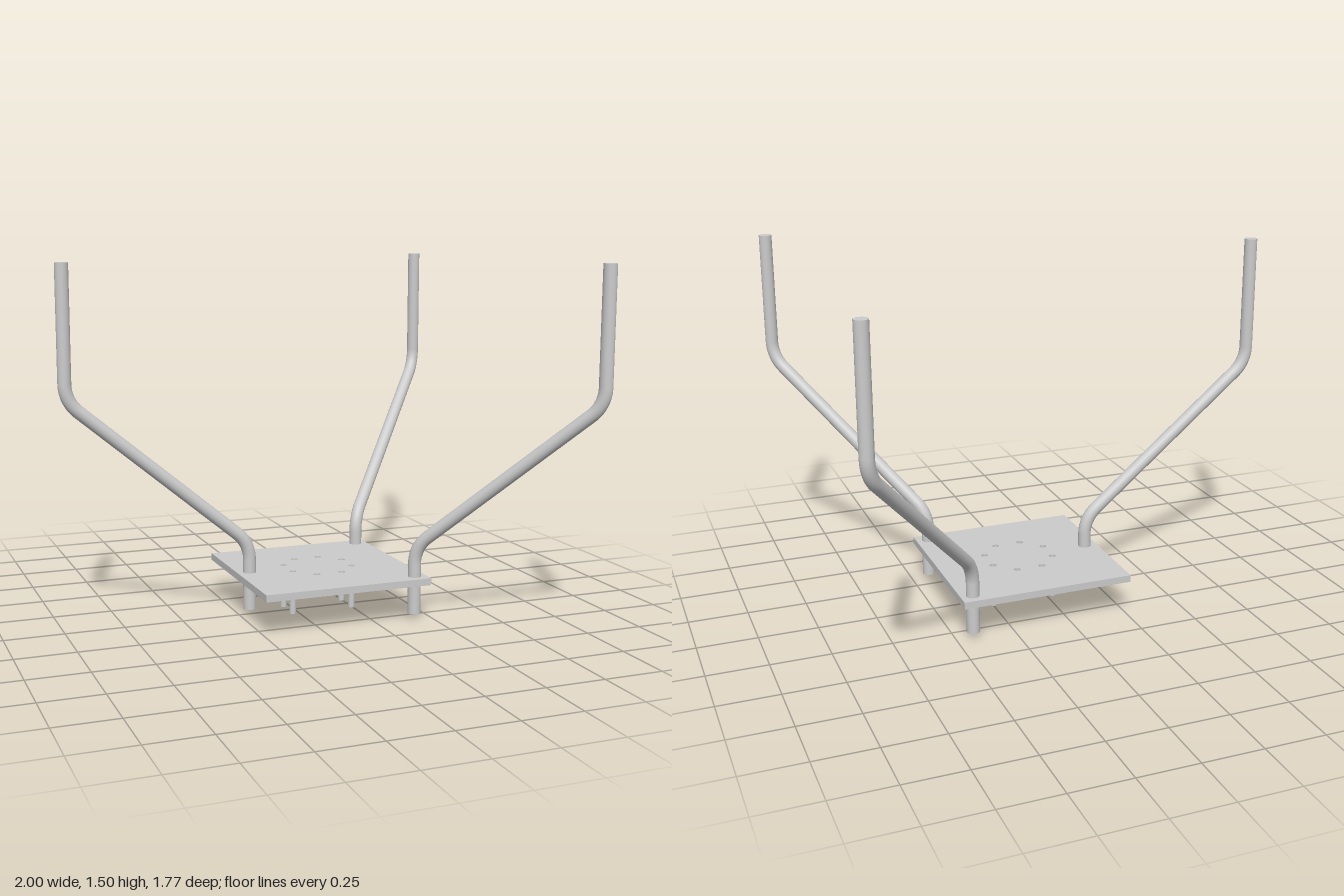
import * as THREE from 'three';

const CX = 0.11;          // plate centre along x
const PLATE = 0.735, PLATE_Y = 0.155, PLATE_T = 0.03;
const ARM_R = 0.0275, PIN_R = 0.0145, RING_R = 0.148;
const material = new THREE.MeshStandardMaterial({ color: 0xcccccc });

function addMesh(parent, geometry, name) {
  const mesh = new THREE.Mesh(geometry, material);
  mesh.name = name;
  parent.add(mesh);
  return mesh;
}

// Path of straight runs joined by circular bends of the given tangent length
function bentPath(points, tangent) {
  const path = new THREE.CurvePath();
  let start = points[0];
  for (let i = 1; i < points.length - 1; i++) {
    const p = points[i];
    const toward = (q) => p.clone().add(q.clone().sub(p).setLength(tangent));
    const a = toward(points[i - 1]), b = toward(points[i + 1]);
    path.add(new THREE.LineCurve3(start, a));
    path.add(new THREE.CubicBezierCurve3(a, a.clone().lerp(p, 0.634), b.clone().lerp(p, 0.634), b));
    start = b;
  }
  path.add(new THREE.LineCurve3(start, points[points.length - 1]));
  return path;
}

// Bent rod that rises, leans outward along +x, then rises again
function createArm(name) {
  const arm = new THREE.Group();
  arm.name = name;
  const bottom = 0.025, top = 1.505, reach = 0.772;
  const path = bentPath([
    new THREE.Vector3(0, bottom, 0),
    new THREE.Vector3(0, 0.312, 0),
    new THREE.Vector3(reach, 0.955, 0),
    new THREE.Vector3(reach, top, 0),
  ], 0.07);
  addMesh(arm, new THREE.TubeGeometry(path, 160, ARM_R, 32), 'armRod');
  const cap = new THREE.CircleGeometry(ARM_R, 32);
  const topCap = addMesh(arm, cap, 'armTopCap');
  topCap.position.set(reach, top, 0);
  topCap.rotation.x = -Math.PI / 2;
  const bottomCap = addMesh(arm, cap, 'armBottomCap');
  bottomCap.position.y = bottom;
  bottomCap.rotation.x = Math.PI / 2;
  return arm;
}

export function createModel() {
  const model = new THREE.Group();
  model.name = 'threeArmStand';

  // Square plate with a ring of eight holes
  const h = PLATE / 2;
  const outline = new THREE.Shape([
    new THREE.Vector2(-h, -h), new THREE.Vector2(h, -h),
    new THREE.Vector2(h, h), new THREE.Vector2(-h, h),
  ]);
  const ring = [];
  for (let i = 0; i < 8; i++) {
    const a = (i + 0.5) * Math.PI / 4;
    ring.push(new THREE.Vector2(Math.cos(a) * RING_R, Math.sin(a) * RING_R));
  }
  for (const p of ring) {
    outline.holes.push(new THREE.Path().absarc(p.x, p.y, PIN_R, 0, Math.PI * 2, true));
  }
  const plateGeometry = new THREE.ExtrudeGeometry(outline, {
    depth: PLATE_T, bevelEnabled: false, curveSegments: 24,
  });
  plateGeometry.rotateX(-Math.PI / 2);
  addMesh(model, plateGeometry, 'basePlate').position.set(CX, PLATE_Y, 0);

  // Four pins hang below the holes nearest the x axis
  const pinGeometry = new THREE.CylinderGeometry(PIN_R, PIN_R, PLATE_Y, 24);
  for (const p of ring.filter((q) => Math.abs(q.x) > Math.abs(q.y))) {
    addMesh(model, pinGeometry, 'pin').position.set(CX + p.x, PLATE_Y / 2, p.y);
  }

  // Three arms: one straight out to the right side, two out over the left corners
  const arms = [
    ['rightArm', -0.2025, 0, Math.PI],
    ['leftFrontArm', 0.425, 0.313, -Math.PI / 4],
    ['leftBackArm', 0.425, -0.313, Math.PI / 4],
  ];
  for (const [name, x, z, turn] of arms) {
    const arm = createArm(name);
    arm.position.set(x, 0, z);
    arm.rotation.y = turn;
    model.add(arm);
  }
  return model;
}
